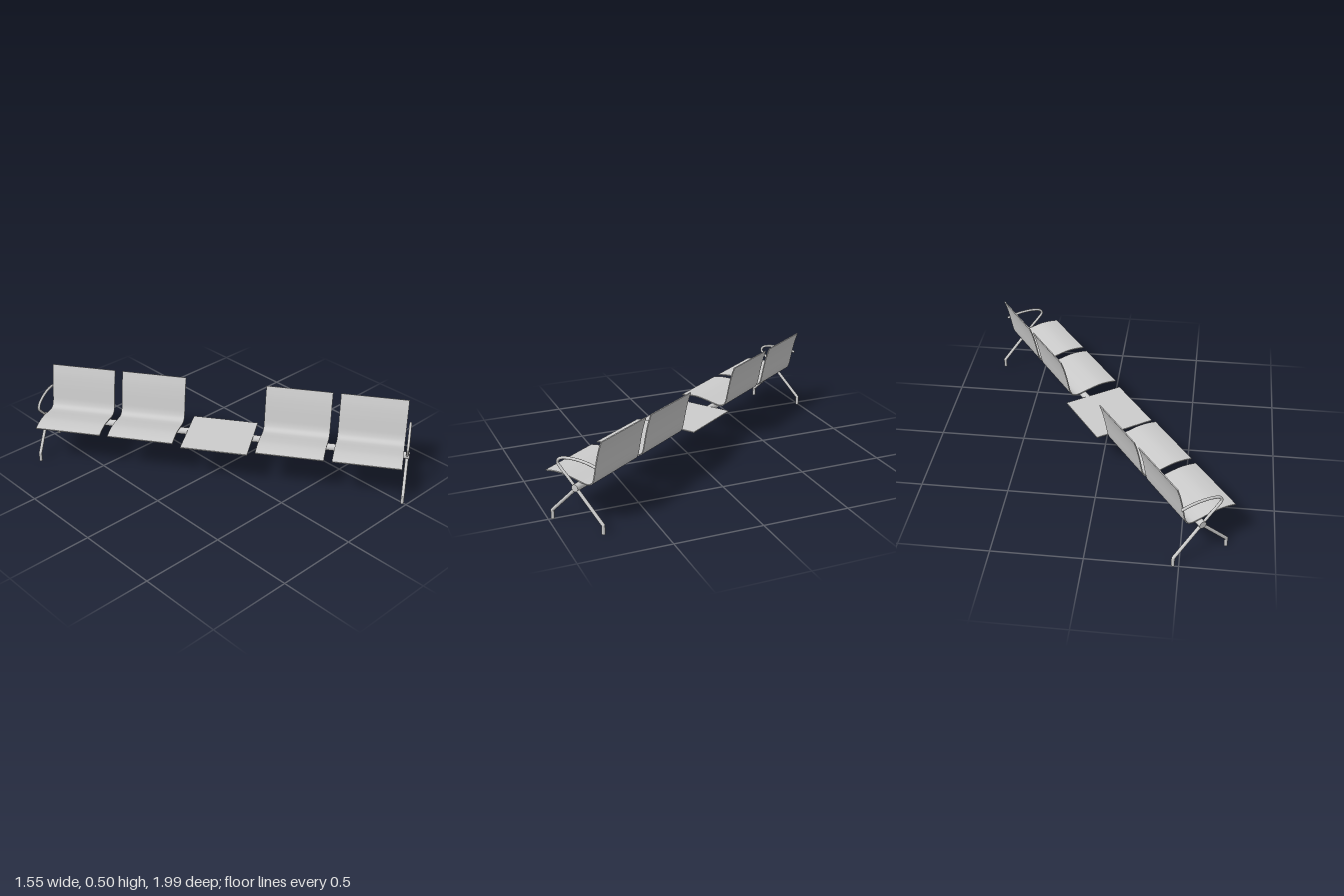
import * as THREE from 'three';
import { toCreasedNormals } from 'three/addons/utils/BufferGeometryUtils.js';

const metal = new THREE.MeshStandardMaterial({ color: 0xcccccc });
const BEAM_Y = 0.219, BEAM_Z = -0.017, END_X = 1.084;
const SEAT_W = 0.391, PITCH = 0.437;

function add(parent, name, geometry) {
  const mesh = new THREE.Mesh(geometry, metal);
  mesh.name = name;
  parent.add(mesh);
  return mesh;
}

// Capped round bar between two points
function rod(parent, name, a, b, radius, sides = 16) {
  const dir = b.clone().sub(a);
  const mesh = add(parent, name, new THREE.CylinderGeometry(radius, radius, dir.length(), sides));
  mesh.position.copy(a).addScaledVector(dir, 0.5);
  mesh.quaternion.setFromUnitVectors(new THREE.Vector3(0, 1, 0), dir.normalize());
  return mesh;
}

function ball(parent, name, p, radius) {
  add(parent, name, new THREE.SphereGeometry(radius, 14, 10)).position.copy(p);
}

// One-piece seat and back: a curved side profile, thickened and extruded sideways
function shellGeometry() {
  const curve = new THREE.CatmullRomCurve3([
    [0.196, 0.256], [0.15, 0.263], [0.09, 0.265], [0.02, 0.255], [-0.04, 0.243],
    [-0.076, 0.24], [-0.1, 0.25], [-0.113, 0.275], [-0.121, 0.31], [-0.134, 0.375],
    [-0.15, 0.44], [-0.168, 0.495],
  ].map(([z, y]) => new THREE.Vector3(z, y, 0)), false, 'centripetal');
  const upper = [], lower = [], n = 48, half = 0.003;
  for (let i = 0; i <= n; i++) {
    const p = curve.getPointAt(i / n), d = curve.getTangentAt(i / n);
    upper.push(new THREE.Vector2(p.x + d.y * half, p.y - d.x * half));
    lower.push(new THREE.Vector2(p.x - d.y * half, p.y + d.x * half));
  }
  const shape = new THREE.Shape([...upper, ...lower.reverse()]);
  const geo = new THREE.ExtrudeGeometry(shape, { depth: SEAT_W, bevelEnabled: false });
  geo.translate(0, 0, -SEAT_W / 2);
  geo.rotateY(-Math.PI / 2);
  return toCreasedNormals(geo, 0.6);
}

// Splayed pair of legs with upright feet, and the looped armrest above them
function endFrame(side) {
  const frame = new THREE.Group();
  frame.name = side > 0 ? 'leftEndFrame' : 'rightEndFrame';
  const x = side * END_X, r = 0.0095;
  const hub = new THREE.Vector3(x, 0.215, BEAM_Z);
  for (const s of [1, -1]) {
    const name = s > 0 ? 'frontLeg' : 'rearLeg';
    const foot = new THREE.Vector3(x, 0, BEAM_Z + s * 0.164);
    const knee = new THREE.Vector3(x, 0.05, BEAM_Z + s * 0.164);
    rod(frame, name + 'Foot', foot, knee, r);
    ball(frame, name + 'Bend', knee, r);
    rod(frame, name, knee, hub, r);
  }
  ball(frame, 'legJoint', hub, r * 1.1);

  const path = new THREE.CatmullRomCurve3([
    [-0.017, 0.215], [0.03, 0.262], [0.075, 0.304], [0.098, 0.333], [0.086, 0.355],
    [0.04, 0.37], [-0.03, 0.375], [-0.09, 0.371], [-0.14, 0.361],
  ].map(([z, y]) => new THREE.Vector3(x, y, z)), false, 'centripetal');
  add(frame, 'armrest', new THREE.TubeGeometry(path, 56, 0.008, 12));
  ball(frame, 'armrestTip', path.getPoint(1), 0.008);
  return frame;
}

export function createModel() {
  const model = new THREE.Group();
  model.name = 'beamBench';

  // Whole bench stands turned about the vertical axis
  const bench = new THREE.Group();
  bench.name = 'bench';
  bench.rotation.y = -0.9645;
  model.add(bench);

  rod(bench, 'beam', new THREE.Vector3(-1.097, BEAM_Y, BEAM_Z),
    new THREE.Vector3(1.097, BEAM_Y, BEAM_Z), 0.0205, 28);

  // Two seats either side of a flat table
  const shell = shellGeometry();
  for (const i of [-2, -1, 1, 2]) {
    add(bench, 'seat', shell).position.x = i * PITCH - 0.005;
  }
  const table = add(bench, 'table', new THREE.BoxGeometry(SEAT_W, 0.006, 0.359));
  table.position.set(-0.005, 0.237, 0.018);

  for (const side of [1, -1]) bench.add(endFrame(side));
  return model;
}
